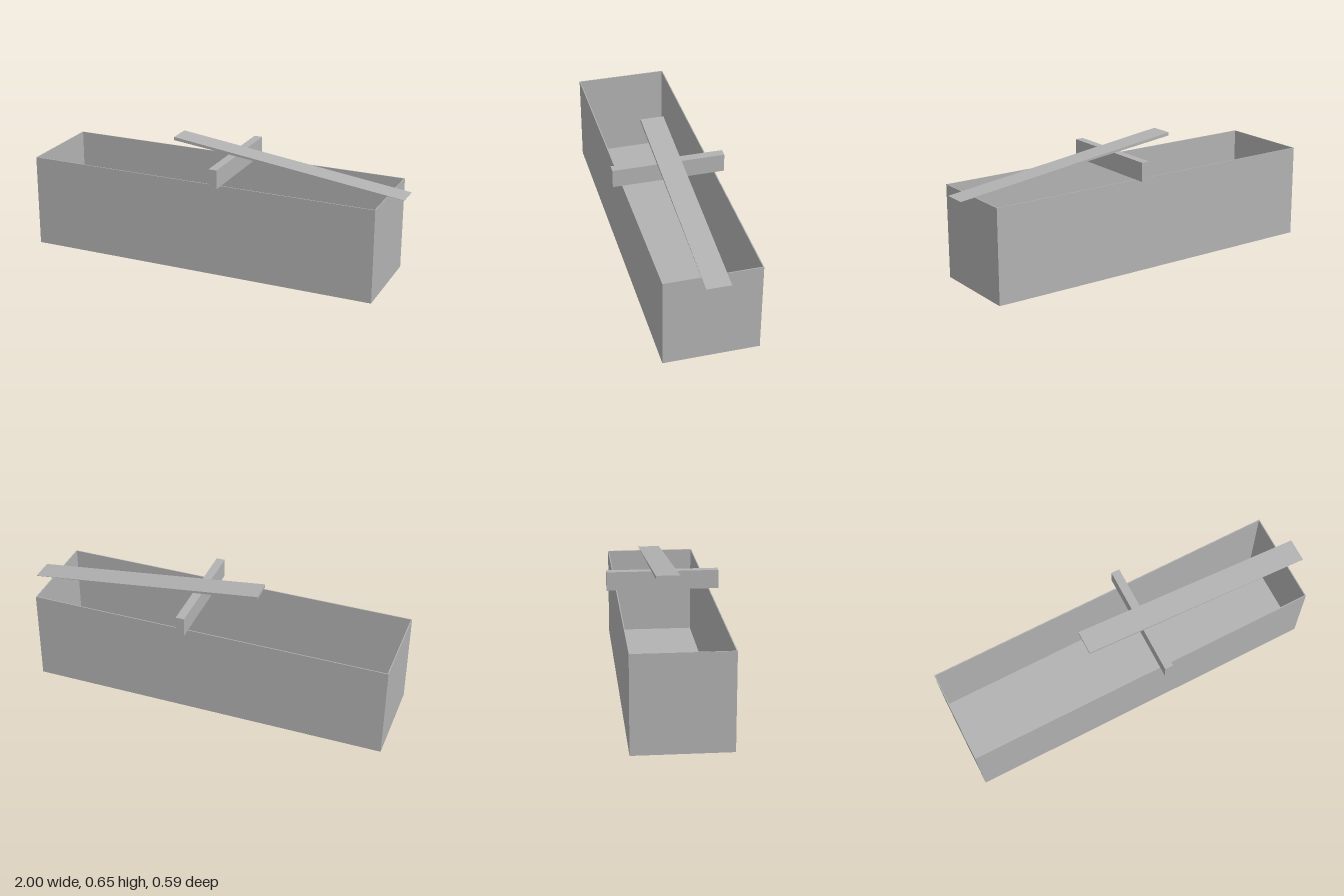
import * as THREE from 'three';

export function createModel() {
  const model = new THREE.Group();
  const grey = new THREE.MeshStandardMaterial({ color: 0xb2b2b2 });
  grey.name = 'grey';

  // Box given by its lower and upper corners
  const slab = (name, [x0, y0, z0], [x1, y1, z1], parent = model) => {
    const mesh = new THREE.Mesh(new THREE.BoxGeometry(x1 - x0, y1 - y0, z1 - z0), grey);
    mesh.position.set((x0 + x1) / 2, (y0 + y1) / 2, (z0 + z1) / 2);
    mesh.name = name;
    parent.add(mesh);
  };

  // Open trough: floor, two long walls and two end walls
  const left = -1, right = 0.91, depth = 0.248, height = 0.496, wall = 0.005;
  const trough = new THREE.Group();
  trough.name = 'trough';
  model.add(trough);
  slab('floor', [left, 0, -depth], [right, wall, depth], trough);
  slab('frontWall', [left, wall, depth - wall], [right, height, depth], trough);
  slab('backWall', [left, wall, -depth], [right, height, wall - depth], trough);
  slab('rightEndWall', [left, wall, wall - depth], [left + wall, height, depth - wall], trough);
  slab('leftEndWall', [right - wall, wall, wall - depth], [right, height, depth - wall], trough);

  // Crossbar resting on the long walls
  slab('crossbar', [0.047, height, -0.297], [0.092, 0.596, 0.297]);

  // Sloping plank that tapers to a thin edge
  const profile = new THREE.Shape([
    new THREE.Vector2(-0.26, 0.638),
    new THREE.Vector2(1, 0.4955),
    new THREE.Vector2(1, 0.4965),
    new THREE.Vector2(-0.26, 0.655),
  ]);
  const plankGeometry = new THREE.ExtrudeGeometry(profile, { depth: 0.125, bevelEnabled: false });
  plankGeometry.translate(0, 0, -0.0625);
  const plank = new THREE.Mesh(plankGeometry, grey);
  plank.name = 'plank';
  model.add(plank);

  return model;
}
